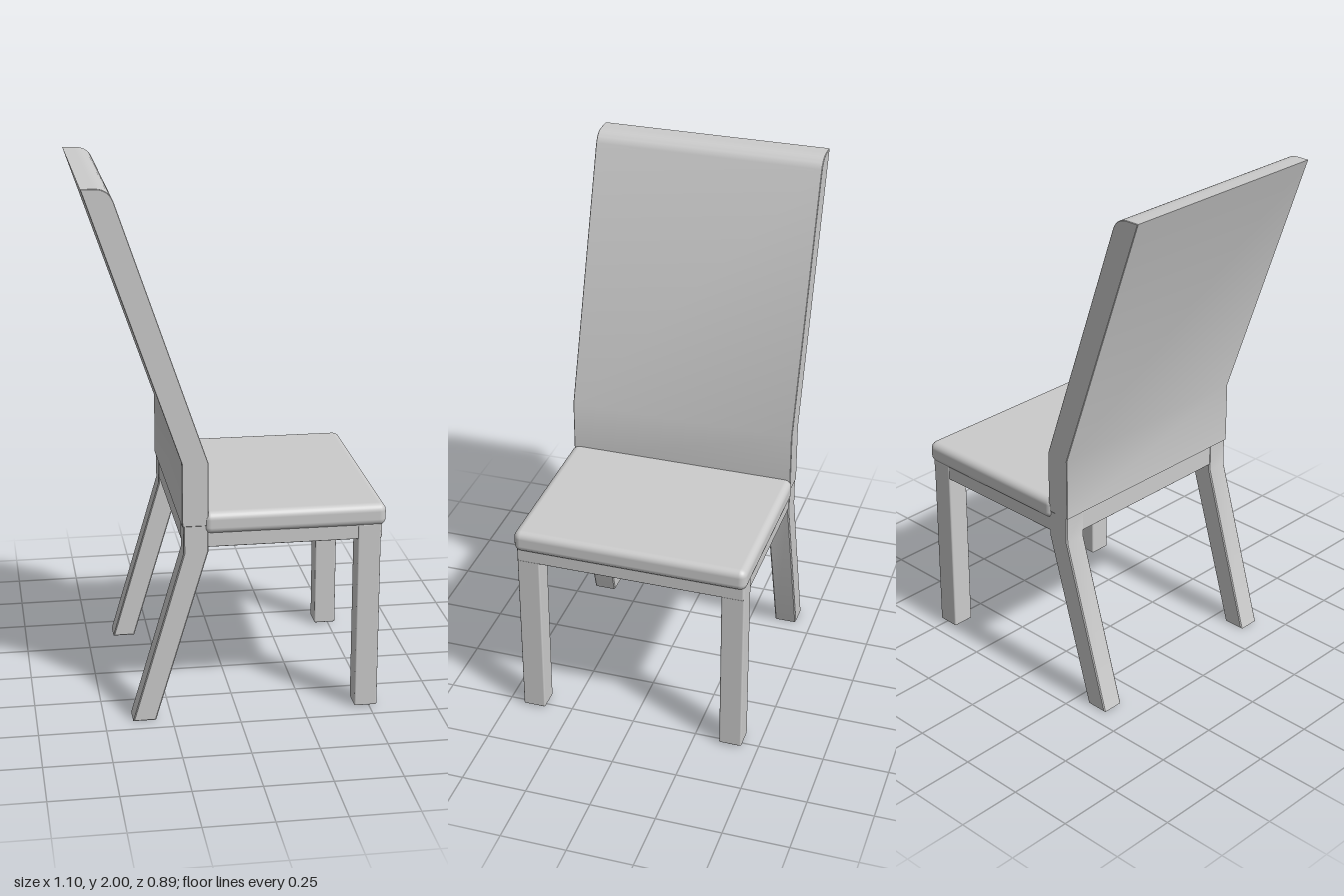
import * as THREE from 'three';
import { toCreasedNormals } from 'three/addons/utils/BufferGeometryUtils.js';
import { RoundedBoxGeometry } from 'three/addons/geometries/RoundedBoxGeometry.js';

const material = new THREE.MeshStandardMaterial({ color: 0xcccccc });

export function createModel() {
  const chair = new THREE.Group();
  chair.name = 'chair';

  const add = (name, geometry) => {
    const mesh = new THREE.Mesh(geometry, material);
    mesh.name = name;
    chair.add(mesh);
  };

  // Rounded box given by its extents on each axis
  const block = (name, [x0, x1], [y0, y1], [z0, z1], radius) => {
    const g = new RoundedBoxGeometry(x1 - x0, y1 - y0, z1 - z0, 3, radius);
    g.translate((x0 + x1) / 2, (y0 + y1) / 2, (z0 + z1) / 2);
    add(name, g);
  };

  // Side profile extruded across z, with a slight edge bevel
  const slab = (name, shape, z0, z1, bevel = 0.004) => {
    const g = new THREE.ExtrudeGeometry(shape, {
      depth: z1 - z0 - 2 * bevel, curveSegments: 10,
      bevelEnabled: true, bevelSize: bevel, bevelThickness: bevel, bevelOffset: -bevel, bevelSegments: 1,
    });
    g.translate(0, 0, z0 + bevel);
    add(name, toCreasedNormals(g, 0.5));
  };

  // Tall raked backrest with a rounded front top edge
  const back = new THREE.Shape();
  back.moveTo(-0.208, 0.76);
  back.lineTo(-0.112, 0.76);
  back.lineTo(-0.112, 1.0);
  back.lineTo(-0.435, 1.95);
  back.bezierCurveTo(-0.445, 1.98, -0.465, 2.0, -0.505, 2.0);
  back.lineTo(-0.55, 2.0);
  back.lineTo(-0.208, 1.0);
  back.closePath();
  slab('backrest', back, -0.44, 0.44, 0.002);

  // Cushion
  block('seat', [-0.13, 0.547], [0.725, 0.81], [-0.446, 0.446], 0.028);

  // Splayed rear leg profile
  const rear = new THREE.Shape([
    [-0.395, 0], [-0.31, 0], [-0.112, 0.66], [-0.112, 0.765], [-0.203, 0.765], [-0.203, 0.655],
  ].map(([x, y]) => new THREE.Vector2(x, y)));

  // Legs and side rails, mirrored across z
  for (const side of [1, -1]) {
    const span = (a, b) => (side > 0 ? [a, b] : [-b, -a]);
    block('frontLeg', [0.442, 0.528], [0.005, 0.735], span(0.351, 0.438), 0.006);
    slab('rearLeg', rear, ...span(0.351, 0.438));
    block('sideRail', [-0.15, 0.5], [0.677, 0.74], span(0.39, 0.436), 0.004);
  }

  // Front and rear rails
  block('frontRail', [0.485, 0.532], [0.677, 0.74], [-0.436, 0.436], 0.006);
  block('rearRail', [-0.201, -0.13], [0.677, 0.764], [-0.436, 0.436], 0.004);

  return chair;
}
